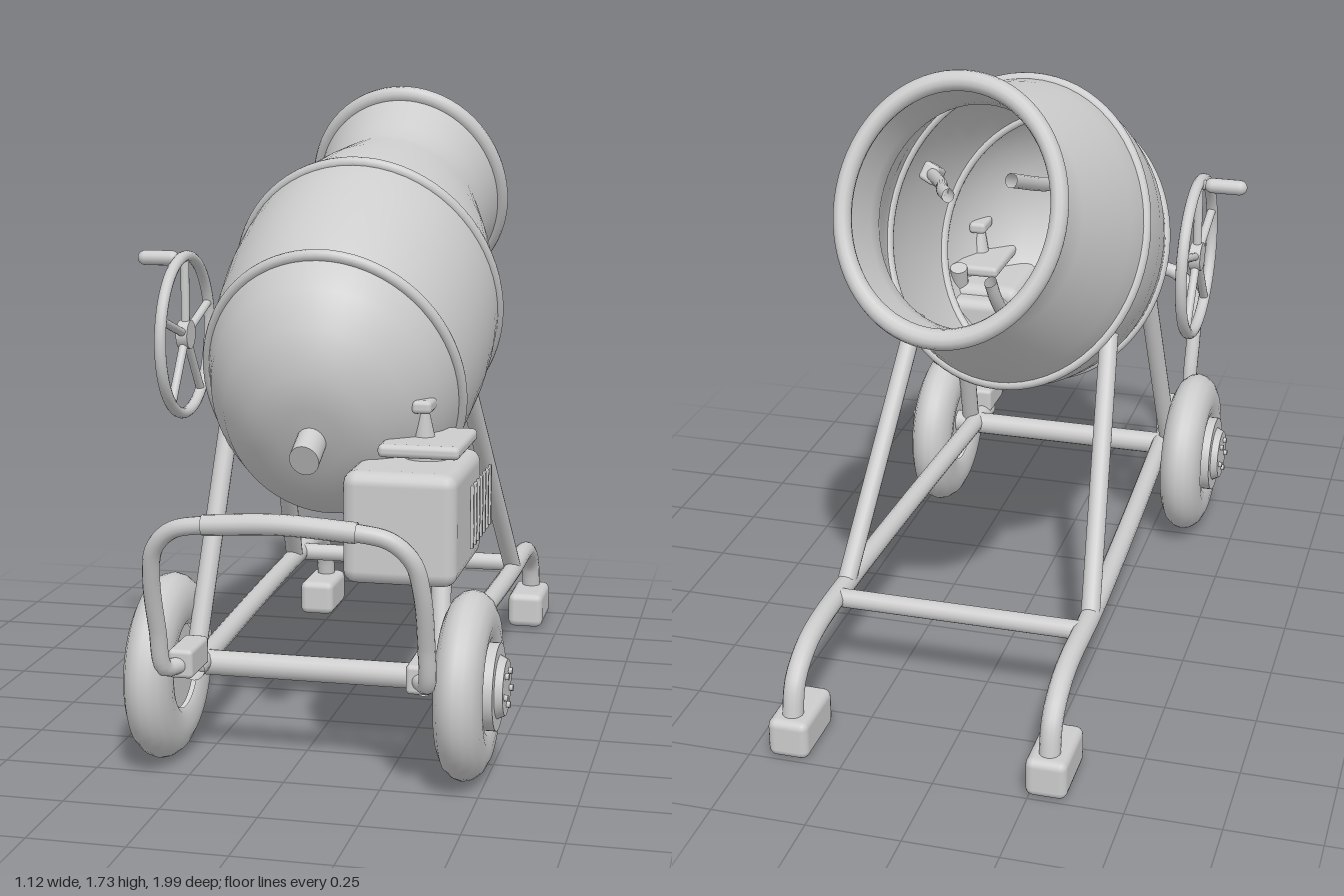
import * as THREE from 'three';
import { RoundedBoxGeometry } from 'three/addons/geometries/RoundedBoxGeometry.js';

const CX = 0.05; // centre plane of the machine
const grey = new THREE.MeshStandardMaterial({ color: 0xcccccc, side: THREE.DoubleSide });
grey.name = 'light grey';

const V = (x, y, z) => new THREE.Vector3(x, y, z);

function add(parent, name, geometry, x = 0, y = 0, z = 0) {
  const mesh = new THREE.Mesh(geometry, grey);
  mesh.name = name;
  mesh.position.set(x, y, z);
  parent.add(mesh);
  return mesh;
}

// smooth bent pipe through the points
function pipe(parent, name, points, r, segments = 40) {
  const curve = new THREE.CatmullRomCurve3(points, false, 'centripetal');
  return add(parent, name, new THREE.TubeGeometry(curve, segments, r, 14));
}

// straight capped bar between two points
function bar(parent, name, a, b, r, r2 = r) {
  const mesh = add(parent, name, new THREE.CylinderGeometry(r2, r, a.distanceTo(b), 16));
  mesh.position.copy(a).add(b).multiplyScalar(0.5);
  mesh.quaternion.setFromUnitVectors(V(0, 1, 0), b.clone().sub(a).normalize());
  return mesh;
}

function box(parent, name, w, h, d, x, y, z, bevel) {
  return add(parent, name, new RoundedBoxGeometry(w, h, d, 2, bevel), x, y, z);
}

const lathe = (pts, n) => new THREE.LatheGeometry(pts.map(p => new THREE.Vector2(...p)), n);

function buildDrum() {
  const drum = new THREE.Group();
  drum.name = 'drum';
  drum.position.set(CX, 1.154, -0.02);
  drum.scale.set(0.826, 0.95, 1); // slightly oval drum
  const tilt = new THREE.Group();
  tilt.name = 'tiltedDrum';
  tilt.rotation.x = -1.1415;
  drum.add(tilt);

  add(tilt, 'drumShell', lathe([
    [0, -0.735], [0.1, -0.732], [0.195, -0.714], [0.301, -0.65], [0.37, -0.56], [0.41, -0.459],
    [0.436, -0.32], [0.448, -0.2], [0.45, -0.1], [0.445, 0], [0.421, 0.1], [0.374, 0.25],
    [0.33, 0.37], [0.304, 0.44], [0.308, 0.5], [0.335, 0.65],
  ], 64));

  // reinforcing bands and mouth rim: axial position, radius, thickness
  const rings = [['frontBand', -0.459, 0.411, 0.017], ['middleBand', 0, 0.444, 0.018], ['mouthRim', 0.655, 0.336, 0.028]];
  for (const [name, t, r, tube] of rings) {
    add(tilt, name, new THREE.TorusGeometry(r, tube, 12, 72), 0, t, 0).rotation.x = Math.PI / 2;
  }
  add(tilt, 'drumShaft', new THREE.CylinderGeometry(0.046, 0.046, 0.12, 24), 0, -0.757, 0);

  // mixing paddles inside the drum
  for (let i = 0; i < 3; i++) {
    const paddle = new THREE.Group();
    paddle.name = 'mixingPaddle';
    paddle.rotation.y = 0.65 + i * Math.PI * 2 / 3;
    tilt.add(paddle);
    const tip = i === 0 ? 0.5 : 0.25;
    pipe(paddle, 'paddleArm', [V(-0.43, -0.2, 0), V(-0.3, 0, 0), V(-0.21, 0.2, 0), V(-0.165, tip + 0.01, 0)], 0.02, 20);
    box(paddle, 'paddleBracket', 0.06, 0.08, 0.06, -0.41, -0.18, 0, 0.012);
  }
  return drum;
}

function buildWheel(side) {
  const wheel = new THREE.Group();
  wheel.name = 'wheel';
  wheel.position.set(CX + side * 0.4, 0.243, 0.597);
  wheel.rotation.z = -side * Math.PI / 2;
  wheel.scale.x = 0.955;
  add(wheel, 'tyre', lathe([
    [0.115, -0.045], [0.13, -0.055], [0.165, -0.061], [0.2, -0.058], [0.23, -0.044], [0.248, -0.022],
    [0.254, 0], [0.248, 0.022], [0.23, 0.044], [0.2, 0.058], [0.165, 0.061], [0.13, 0.055], [0.115, 0.045],
  ], 48));
  add(wheel, 'wheelDisc', new THREE.CylinderGeometry(0.117, 0.117, 0.11, 40), 0, 0.022, 0);
  add(wheel, 'hub', new THREE.CylinderGeometry(0.075, 0.085, 0.02, 32), 0, 0.087, 0);
  for (let i = 0; i < 5; i++) {
    const a = i * Math.PI * 2 / 5;
    add(wheel, 'wheelBolt', new THREE.CylinderGeometry(0.009, 0.009, 0.014, 8),
      -Math.cos(a) * side * -0.047, 0.1, Math.sin(a) * 0.047);
  }
  return wheel;
}

function buildFrame() {
  const frame = new THREE.Group();
  frame.name = 'frame';
  for (const s of [-1, 1]) {
    const X = d => CX + s * d;
    // rail bending down into the rear foot
    pipe(frame, 'sideRail', [V(X(0.3), 0.265, 0.7), V(X(0.33), 0.265, 0), V(X(0.345), 0.265, -0.5), V(X(0.345), 0.264, -0.75),
      V(X(0.345), 0.245, -0.84), V(X(0.345), 0.19, -0.92), V(X(0.345), 0.08, -0.95)], 0.028, 60);
    box(frame, 'foot', 0.11, 0.108, 0.2, X(0.345), 0.056, -0.897, 0.022);
    bar(frame, 'rearStrut', V(X(0.345), 0.27, -0.52), V(X(0.28), 0.89, -0.06), 0.026);
    bar(frame, 'frontStrut', V(X(0.325), 0.27, 0.6), V(X(0.29), 0.87, 0.38), 0.026);
    box(frame, 'handleSocket', 0.065, 0.075, 0.15, X(0.306), 0.308, 0.725, 0.012);
    frame.add(buildWheel(s));
  }
  bar(frame, 'axle', V(CX - 0.44, 0.257, 0.597), V(CX + 0.44, 0.257, 0.597), 0.033);
  bar(frame, 'rearCrossbar', V(CX - 0.345, 0.265, -0.6), V(CX + 0.345, 0.265, -0.6), 0.026);

  // push handle
  const half = [V(-0.31, 0.305, 0.79), V(-0.335, 0.31, 0.835), V(-0.34, 0.42, 0.87), V(-0.338, 0.56, 0.918),
    V(-0.32, 0.645, 0.945), V(-0.27, 0.695, 0.96), V(-0.19, 0.713, 0.966)];
  const path = [...half, V(0, 0.724, 0.97), ...half.map(p => V(-p.x, p.y, p.z)).reverse()];
  pipe(frame, 'pushHandle', path, 0.022, 90).position.x = CX;
  pipe(frame, 'handleGrip', [V(CX - 0.19, 0.713, 0.966), V(CX, 0.724, 0.97), V(CX + 0.19, 0.713, 0.966)], 0.026, 16);
  return frame;
}

function buildEngine() {
  const engine = new THREE.Group();
  engine.name = 'engine';
  box(engine, 'engineBody', 0.288, 0.285, 0.4, 0.297, 0.675, 0.57, 0.035);
  box(engine, 'engineBack', 0.24, 0.23, 0.12, 0.3, 0.675, 0.378, 0.03);
  bar(engine, 'tankNeck', V(0.328, 0.8, 0.54), V(0.328, 0.85, 0.54), 0.06);
  box(engine, 'tankPlate', 0.208, 0.034, 0.285, 0.329, 0.855, 0.538, 0.014);
  bar(engine, 'capStem', V(0.32, 0.865, 0.54), V(0.32, 0.945, 0.55), 0.028, 0.012);
  box(engine, 'capKnob', 0.052, 0.034, 0.09, 0.32, 0.953, 0.55, 0.012);
  for (let i = 0; i < 7; i++) {
    box(engine, 'ventSlat', 0.009, 0.16, 0.018, 0.464, 0.695, 0.66 - i * 0.0455, 0.003);
  }
  return engine;
}

function buildHandwheel() {
  const wheel = new THREE.Group();
  wheel.name = 'handwheel';
  wheel.position.set(-0.428, 1.058, 0.165);
  wheel.scale.y = 0.95;
  add(wheel, 'handwheelRim', new THREE.TorusGeometry(0.229, 0.016, 12, 56)).rotation.y = Math.PI / 2;
  bar(wheel, 'handwheelHub', V(-0.016, 0, 0), V(0.016, 0, 0), 0.042);
  for (let i = 0; i < 5; i++) {
    const a = Math.PI / 2 + i * Math.PI * 2 / 5;
    bar(wheel, 'handwheelSpoke', V(0, 0, 0), V(0, Math.sin(a) * 0.229, Math.cos(a) * 0.229), 0.012);
  }
  bar(wheel, 'crankPin', V(0, 0.223, 0), V(-0.06, 0.223, 0), 0.014);
  const grip = add(wheel, 'crankGrip', new THREE.CapsuleGeometry(0.022, 0.075, 6, 16), -0.075, 0.223, 0);
  grip.rotation.z = Math.PI / 2;
  return wheel;
}

export function createModel() {
  const model = new THREE.Group();
  model.name = 'cementMixer';
  model.add(buildDrum(), buildFrame(), buildEngine(), buildHandwheel());
  return model;
}
